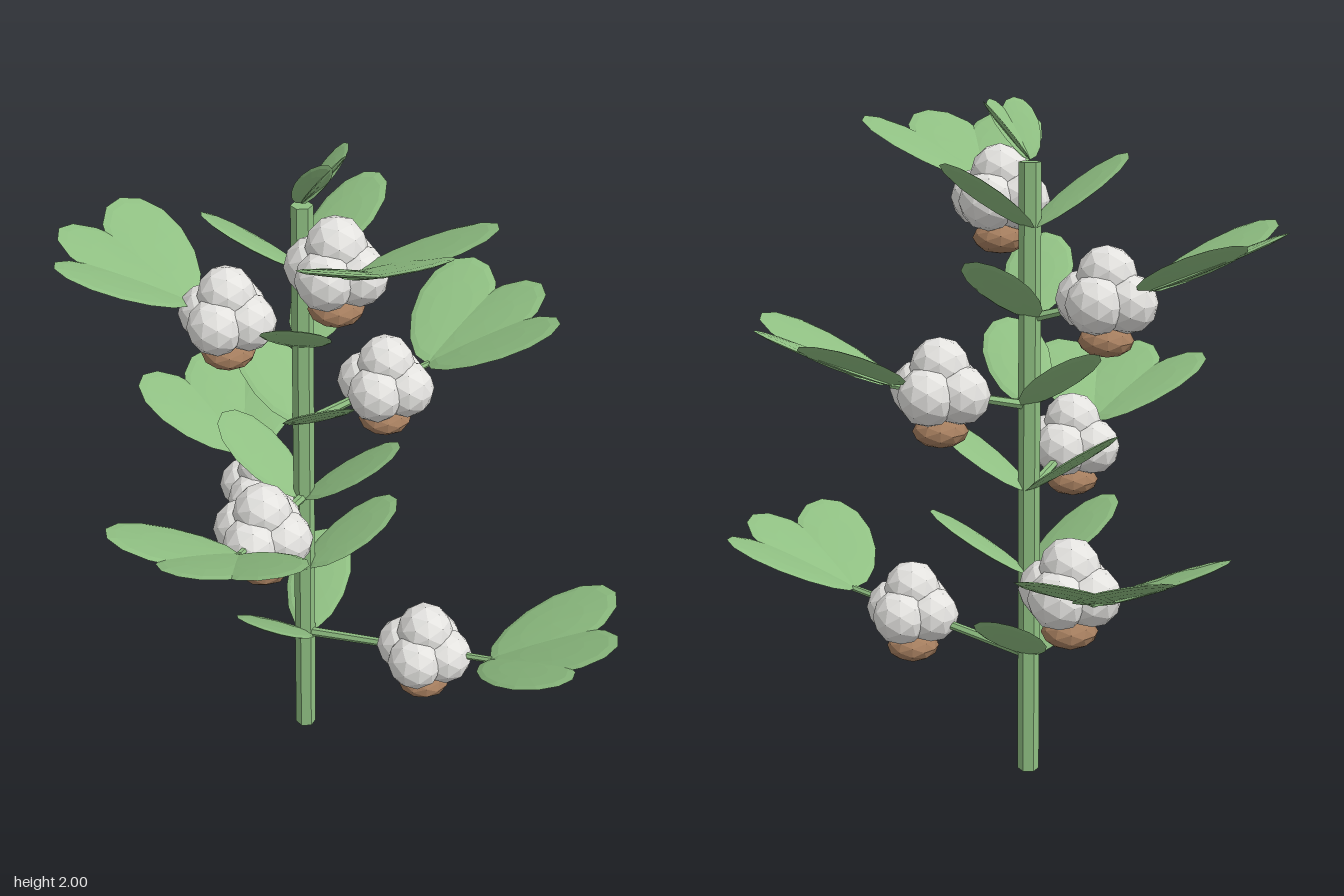
import * as THREE from 'three';

const DEG = Math.PI / 180;

const mat = (name, color) => {
  const m = new THREE.MeshStandardMaterial({ color });
  m.name = name;
  return m;
};

// Faceted look through per-face normals
function facet(geometry) {
  const g = geometry.index ? geometry.toNonIndexed() : geometry;
  g.computeVertexNormals();
  return g;
}

// Thin leaflet along +x from the origin, slightly fuller toward the tip
function leafletGeometry(length, width, thickness) {
  const g = new THREE.SphereGeometry(1, 14, 6);
  const p = g.attributes.position;
  for (let i = 0; i < p.count; i++) {
    const x = p.getX(i);
    p.setXYZ(i, (x + 1) * length / 2, p.getY(i) * thickness / 2, p.getZ(i) * (1 + 0.12 * x) * width / 2);
  }
  return facet(g);
}

export function createModel() {
  const green = mat('leaf green', 0x8fbf82);
  const white = mat('cotton white', 0xe4e3e0);
  const brown = mat('husk brown', 0xa47d5e);

  const lobeGeo = facet(new THREE.IcosahedronGeometry(0.086, 1));
  const huskGeo = facet(new THREE.IcosahedronGeometry(0.08, 1).scale(1, 0.58, 1));
  const bigLeaflet = leafletGeometry(0.43, 0.24, 0.02);
  const smallLeaflet = leafletGeometry(0.355, 0.2, 0.02);
  const tipLeaflet = leafletGeometry(0.21, 0.11, 0.012);

  function add(parent, name, geometry, material, x = 0, y = 0, z = 0) {
    const m = new THREE.Mesh(geometry, material);
    m.name = name;
    m.position.set(x, y, z);
    parent.add(m);
    return m;
  }

  // Leaflet turned about y, then raised
  function leaflet(parent, name, geometry, turn, rise) {
    const m = add(parent, name, geometry, green);
    m.rotation.set(0, turn * DEG, rise * DEG, 'YXZ');
    return m;
  }

  // Three leaflets fanned from one point
  function fanLeaf(geometry, rise) {
    const g = new THREE.Group();
    g.name = 'fanLeaf';
    for (const turn of [-40, 0, 40]) leaflet(g, 'leaflet', geometry, turn, rise);
    return g;
  }

  // Four lobes around a raised one, on a husk
  function boll() {
    const g = new THREE.Group();
    g.name = 'boll';
    for (const [x, y, z] of [[1, 0, 0], [-1, 0, 0], [0, 0, 1], [0, 0, -1], [0, 1.1, 0]]) {
      add(g, 'cottonLobe', lobeGeo, white, x * 0.066, y * 0.066, z * 0.066);
    }
    add(g, 'husk', huskGeo, brown, 0, -0.113, 0);
    return g;
  }

  const model = new THREE.Group();
  model.name = 'cottonPlant';
  const plant = new THREE.Group();
  plant.name = 'plant';
  plant.position.set(-0.113, 0, -0.053);
  model.add(plant);

  add(plant, 'stem', facet(new THREE.CylinderGeometry(0.032, 0.032, 1.83, 6)), green, 0, 0.915, 0);

  // Nodes spiral up the stem, with shorter branches higher up
  for (let i = 0; i < 6; i++) {
    const node = new THREE.Group();
    node.name = 'node';
    node.position.y = 0.367 + i * 0.255;
    node.rotation.y = i * 137.5 * DEG;
    plant.add(node);

    const reach = 0.63 - i * 0.07;
    const rise = 0.098;
    const length = Math.hypot(reach, rise);
    const branch = add(node, 'branch', facet(new THREE.CylinderGeometry(0.01, 0.015, length, 6)), green, reach / 2, rise / 2, 0);
    branch.rotation.z = Math.atan2(rise, reach) - Math.PI / 2;

    const fan = fanLeaf(bigLeaflet, 25);
    fan.position.set(reach - 0.005, rise, 0);
    node.add(fan);

    for (const side of [-1, 1]) leaflet(node, 'stemLeaf', smallLeaflet, side * 100, 35);

    // Bolls keep the same heading on every branch
    const b = boll();
    b.position.set(reach * 0.65, rise * 0.65, 0);
    b.rotation.y = -node.rotation.y;
    node.add(b);
  }

  // Young leaf at the top
  const top = fanLeaf(tipLeaflet, 51);
  top.position.y = 1.835;
  plant.add(top);

  return model;
}
